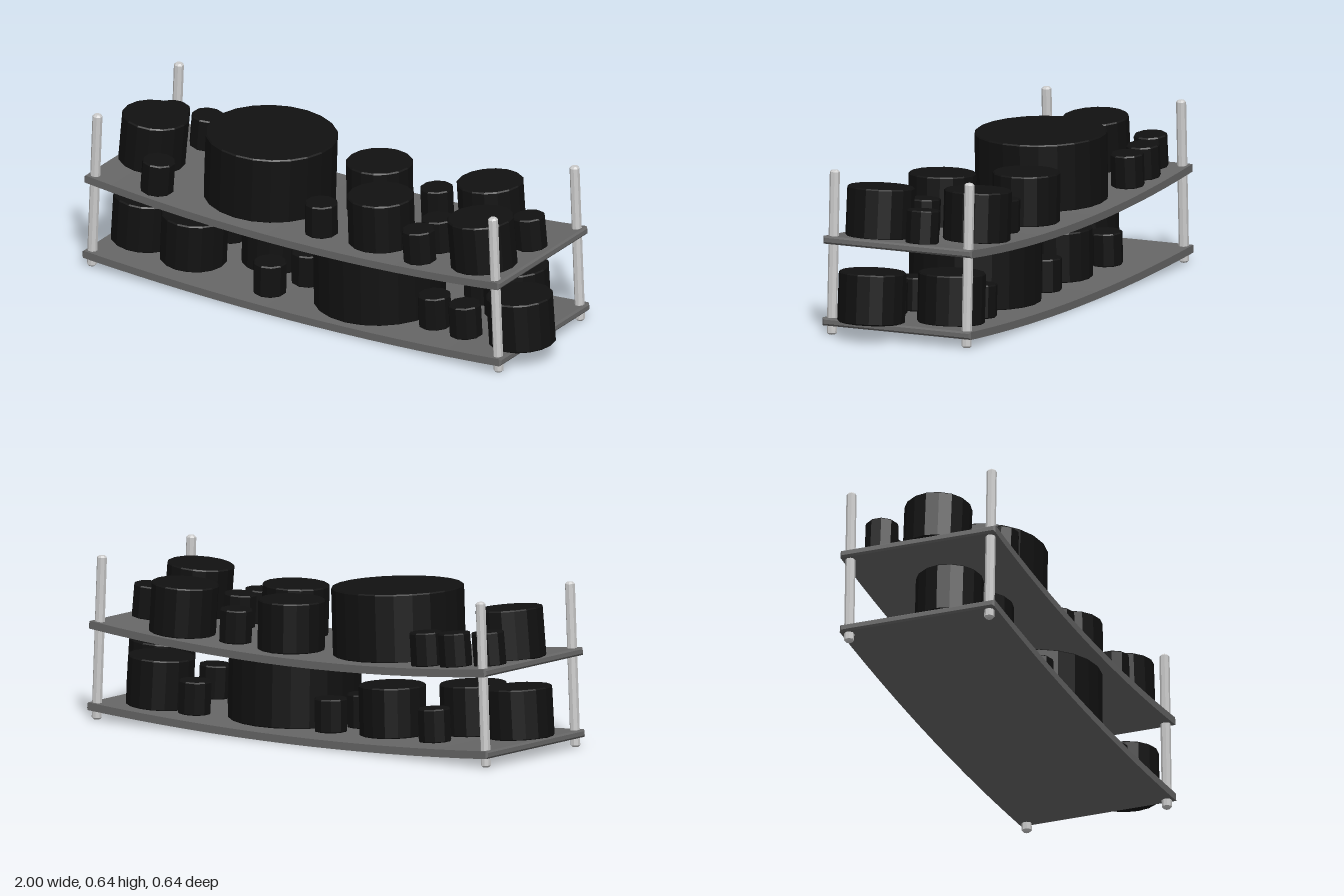
import * as THREE from 'three';

const CX = -0.047; // middle of the shelves along x
const grey = new THREE.MeshStandardMaterial({ color: 0xcccccc, flatShading: true });
const dark = new THREE.MeshStandardMaterial({ color: 0x666666, flatShading: true });
const black = new THREE.MeshStandardMaterial({ color: 0x111111, flatShading: true });

const T = 0.03; // shelf thickness
const sizes = {
  s: { r: 0.065, h: 0.13, sides: 10 },
  m: { r: 0.13, h: 0.195, sides: 16 },
  l: { r: 0.255, h: 0.265, sides: 22 },
};

// Each shelf: underside height at the middle, sag, half length, cans [size, x, z]
const shelves = [
  {
    name: 'lowerShelf', y: 0.002, sag: 0.036, half: 0.952,
    cans: [
      ['m', -0.86, 0.08], ['m', -0.62, 0.11], ['m', -0.36, -0.06], ['l', 0.17, 0.03],
      ['m', 0.69, -0.13], ['m', 0.87, 0.12], ['s', -0.225, 0.19], ['s', -0.155, 0.03],
      ['s', -0.115, -0.125], ['s', -0.613, -0.134], ['s', 0.485, 0.13], ['s', 0.505, -0.16],
      ['s', 0.64, 0.155],
    ],
  },
  {
    name: 'upperShelf', y: 0.303, sag: 0.052, half: 0.944,
    cans: [
      ['l', -0.34, 0.005], ['m', -0.855, 0.03], ['m', 0.065, -0.135], ['m', 0.245, 0.135],
      ['m', 0.55, -0.17], ['m', 0.72, 0.16], ['s', -0.905, -0.18], ['s', -0.77, -0.215],
      ['s', -0.635, -0.215], ['s', -0.705, 0.235], ['s', 0.005, 0.185], ['s', 0.31, -0.16],
      ['s', 0.48, 0.095], ['s', 0.475, 0.225], ['s', 0.795, -0.06],
    ],
  },
];

// Bevelled board extruded along x, then bent into a shallow curve
function sagBoard({ y, sag, half }) {
  const b = 0.007, w = 0.318 - b, t = T - b;
  const shape = new THREE.Shape([
    new THREE.Vector2(-w, b), new THREE.Vector2(w, b),
    new THREE.Vector2(w, t), new THREE.Vector2(-w, t),
  ]);
  const geo = new THREE.ExtrudeGeometry(shape, {
    depth: 2 * (half - b), steps: 16, bevelSize: b, bevelThickness: b, bevelSegments: 1,
  });
  geo.translate(0, 0, -(half - b)).rotateY(Math.PI / 2);
  const p = geo.attributes.position;
  for (let i = 0; i < p.count; i++) {
    const x = p.getX(i), h = p.getY(i);
    const slope = (2 * sag * x) / (half * half);
    p.setXYZ(i, CX + x - h * slope, y + h + sag * (x / half) ** 2, p.getZ(i));
  }
  geo.computeVertexNormals();
  return new THREE.Mesh(geo, dark);
}

// Cylinder with small chamfers at both ends
function chamferedRod(r, h, sides, c) {
  const profile = [[0, 0], [r - c, 0], [r, c], [r, h - c], [r - c, h], [0, h]];
  return new THREE.LatheGeometry(profile.map(([x, y]) => new THREE.Vector2(x, y)), sides);
}

export function createModel() {
  const model = new THREE.Group();
  model.name = 'sagging two-tier shelf with cans';

  const canGeo = {};
  for (const [key, s] of Object.entries(sizes)) canGeo[key] = chamferedRod(s.r, s.h, s.sides, 0.005);

  for (const shelf of shelves) {
    const tier = new THREE.Group();
    tier.name = shelf.name;
    const board = sagBoard(shelf);
    board.name = shelf.name + 'Board';
    tier.add(board);

    // Cans stand square to the curved board
    for (const [size, x, z] of shelf.cans) {
      const u = x - CX;
      const can = new THREE.Mesh(canGeo[size], black);
      can.name = { s: 'smallCan', m: 'mediumCan', l: 'largeCan' }[size];
      const tilt = Math.atan((2 * shelf.sag * u) / shelf.half ** 2);
      can.position.set(
        x + Math.sin(tilt) * sizes[size].h * 0.5,
        shelf.y + T + shelf.sag * (u / shelf.half) ** 2 - 0.001,
        z,
      );
      can.rotation.z = tilt;
      tier.add(can);
    }
    model.add(tier);
  }

  // Four posts leaning slightly inwards
  const postGeo = chamferedRod(0.0195, 0.637, 8, 0.007).rotateY(Math.PI / 8);
  for (const sx of [-1, 1]) {
    for (const sz of [-1, 1]) {
      const post = new THREE.Mesh(postGeo, grey);
      post.name = (sz > 0 ? 'front' : 'back') + (sx > 0 ? 'Left' : 'Right') + 'Post';
      post.position.set(CX + sx * 0.924, 0.001, sz * 0.288);
      post.rotation.z = sx * 0.041;
      model.add(post);
    }
  }
  return model;
}
